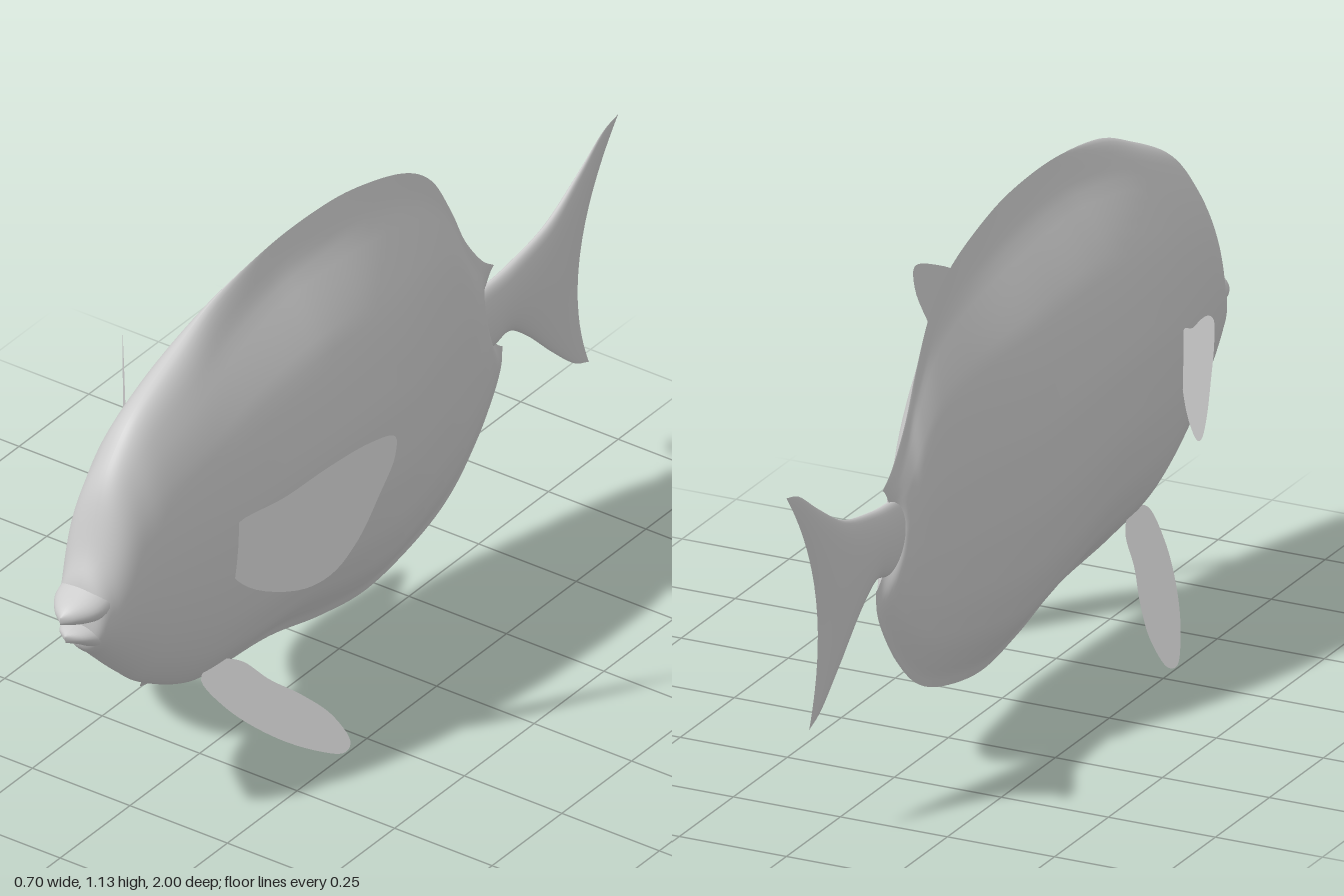
import * as THREE from 'three';

const grey = new THREE.MeshStandardMaterial({ color: 0xcccccc, side: THREE.DoubleSide });

// Width of a cross-section from top (0) to bottom (1): sharp keel with fin ridges
const keel = [[0, 0], [0.04, 0.07], [0.08, 0.15], [0.16, 0.46], [0.24, 0.73], [0.33, 0.88], [0.46, 1],
  [0.64, 0.98], [0.78, 0.82], [0.88, 0.56], [0.94, 0.27], [0.97, 0.1], [1, 0]];
function keelWidth(v) {
  let i = 1;
  while (i < keel.length - 1 && v > keel[i][0]) i++;
  const [v0, w0] = keel[i - 1], [v1, w1] = keel[i];
  return w0 + (w1 - w0) * (v - v0) / (v1 - v0);
}
const ovalWidth = (v) => Math.sqrt(Math.max(0, 1 - (2 * v - 1) ** 2));

// Two mirrored half skins through stations [topZ, topY, bottomZ, bottomY, halfWidth, keelAmount];
// bend pulls the middle of the rear edge forward.
function skin(name, stations, nu, nv, bend = () => 0) {
  const curve = (f) => new THREE.CatmullRomCurve3(stations.map((s) => new THREE.Vector3(...f(s))), false, 'catmullrom', 0.5);
  const top = curve((s) => [s[4], s[1], s[0]]);
  const bottom = curve((s) => [s[5], s[3], s[2]]);
  const group = new THREE.Group();
  group.name = name;
  for (const side of [1, -1]) {
    const pos = [], index = [];
    for (let i = 0; i <= nu; i++) {
      const u = i / nu, t = top.getPoint(u), b = bottom.getPoint(u);
      const k = THREE.MathUtils.clamp(b.x, 0, 1);
      for (let j = 0; j <= nv; j++) {
        const v = (1 - Math.cos(Math.PI * j / nv)) / 2;
        const w = Math.max(0, t.x) * (ovalWidth(v) * (1 - k) + keelWidth(v) * k);
        pos.push(side * w, t.y + (b.y - t.y) * v, t.z + (b.z - t.z) * v + bend(u, v));
        if (i < nu && j < nv) {
          const a = i * (nv + 1) + j, c = a + nv + 1;
          if (side > 0) index.push(a, a + 1, c, a + 1, c + 1, c);
          else index.push(a, c, a + 1, a + 1, c, c + 1);
        }
      }
    }
    const geo = new THREE.BufferGeometry();
    geo.setAttribute('position', new THREE.Float32BufferAttribute(pos, 3));
    geo.setIndex(index);
    geo.computeVertexNormals();
    const mesh = new THREE.Mesh(geo, grey);
    mesh.name = name + (side > 0 ? 'Left' : 'Right');
    group.add(mesh);
  }
  return group;
}

// Thin side fins: outline in (z, y), placed on a slanted plane by xAt(z, y)
function finPair(name, outline, xAt) {
  const group = new THREE.Group();
  group.name = name + 's';
  const path = new THREE.CatmullRomCurve3(outline.map(([z, y]) => new THREE.Vector3(z, y, 0)), true);
  const points = path.getPoints(60).slice(0, -1).map((p) => new THREE.Vector2(p.x, p.y));
  for (const side of [1, -1]) {
    const geo = new THREE.ShapeGeometry(new THREE.Shape(points));
    const p = geo.attributes.position;
    for (let i = 0; i < p.count; i++) {
      const z = p.getX(i), y = p.getY(i);
      p.setXYZ(i, side * xAt(z, y), y, z);
    }
    geo.computeVertexNormals();
    const mesh = new THREE.Mesh(geo, grey);
    mesh.name = name + (side > 0 ? 'Left' : 'Right');
    group.add(mesh);
  }
  return group;
}

export function createModel() {
  const model = new THREE.Group();
  model.name = 'fish';

  // Body with the back and belly fins blended in
  model.add(skin('body', [
    [0.94, 0.57, 0.94, 0.55, 0, 0],
    [0.93, 0.64, 0.93, 0.49, 0.052, 0],
    [0.90, 0.71, 0.89, 0.45, 0.072, 0],
    [0.86, 0.83, 0.84, 0.40, 0.09, 0.05],
    [0.81, 0.905, 0.79, 0.353, 0.102, 0.1],
    [0.74, 0.97, 0.72, 0.295, 0.117, 0.15],
    [0.60, 1.04, 0.58, 0.22, 0.138, 0.3],
    [0.45, 1.10, 0.45, 0.187, 0.154, 0.7],
    [0.25, 1.13, 0.25, 0.165, 0.164, 1],
    [0.07, 1.13, 0.07, 0.122, 0.156, 1],
    [-0.07, 1.11, -0.10, 0.10, 0.136, 1],
    [-0.23, 1.06, -0.28, 0.13, 0.092, 1],
    [-0.33, 0.99, -0.40, 0.18, 0.062, 1],
    [-0.40, 0.88, -0.49, 0.26, 0.045, 0.9],
    [-0.45, 0.78, -0.55, 0.34, 0.035, 0.8],
    [-0.51, 0.70, -0.58, 0.40, 0.026, 0.7],
    [-0.555, 0.665, -0.585, 0.45, 0, 0.7],
  ], 96, 36, (u, v) => 0.055 * THREE.MathUtils.smoothstep(u, 0.75, 1) * Math.sin(Math.PI * v) ** 0.7));

  // Lips
  model.add(skin('upperLip', [
    [1.0, 0.595, 1.0, 0.58, 0, 0],
    [0.98, 0.612, 0.975, 0.57, 0.03, 0],
    [0.94, 0.632, 0.935, 0.56, 0.058, 0],
    [0.88, 0.66, 0.88, 0.55, 0.068, 0],
  ], 14, 14));
  model.add(skin('lowerLip', [
    [0.985, 0.542, 0.98, 0.525, 0, 0],
    [0.96, 0.55, 0.95, 0.51, 0.034, 0],
    [0.92, 0.555, 0.91, 0.482, 0.052, 0],
    [0.87, 0.56, 0.87, 0.45, 0.06, 0],
  ], 14, 14));

  // Forked tail on its narrow stalk
  model.add(skin('tail', [
    [-0.42, 0.63, -0.42, 0.47, 0.026, 0],
    [-0.52, 0.63, -0.53, 0.468, 0.025, 0],
    [-0.61, 0.638, -0.60, 0.478, 0.024, 0],
    [-0.74, 0.667, -0.67, 0.432, 0.022, 0],
    [-0.85, 0.73, -0.76, 0.345, 0.017, 0],
    [-0.94, 0.79, -0.84, 0.275, 0.009, 0],
    [-1.0, 0.808, -0.895, 0.25, 0, 0],
  ], 36, 24, (u, v) => 0.085 * u * u * 4 * v * (1 - v)));

  // Chest fins, spread back and outwards
  model.add(finPair('chestFin', [
    [0.56, 0.655], [0.48, 0.70], [0.40, 0.76], [0.33, 0.802], [0.29, 0.81], [0.288, 0.76], [0.315, 0.67],
    [0.355, 0.56], [0.40, 0.49], [0.45, 0.466], [0.53, 0.485], [0.572, 0.535], [0.575, 0.60],
  ], (z) => 0.125 + (0.58 - z) * 0.77));

  // Belly fins, spread down and outwards
  model.add(finPair('bellyFin', [
    [0.57, 0.24], [0.55, 0.18], [0.48, 0.10], [0.39, 0.035], [0.32, 0.004], [0.29, 0.015],
    [0.297, 0.065], [0.34, 0.12], [0.40, 0.175], [0.44, 0.225], [0.50, 0.25],
  ], (z, y) => 0.07 + (0.22 - y) * 0.81));

  return model;
}
